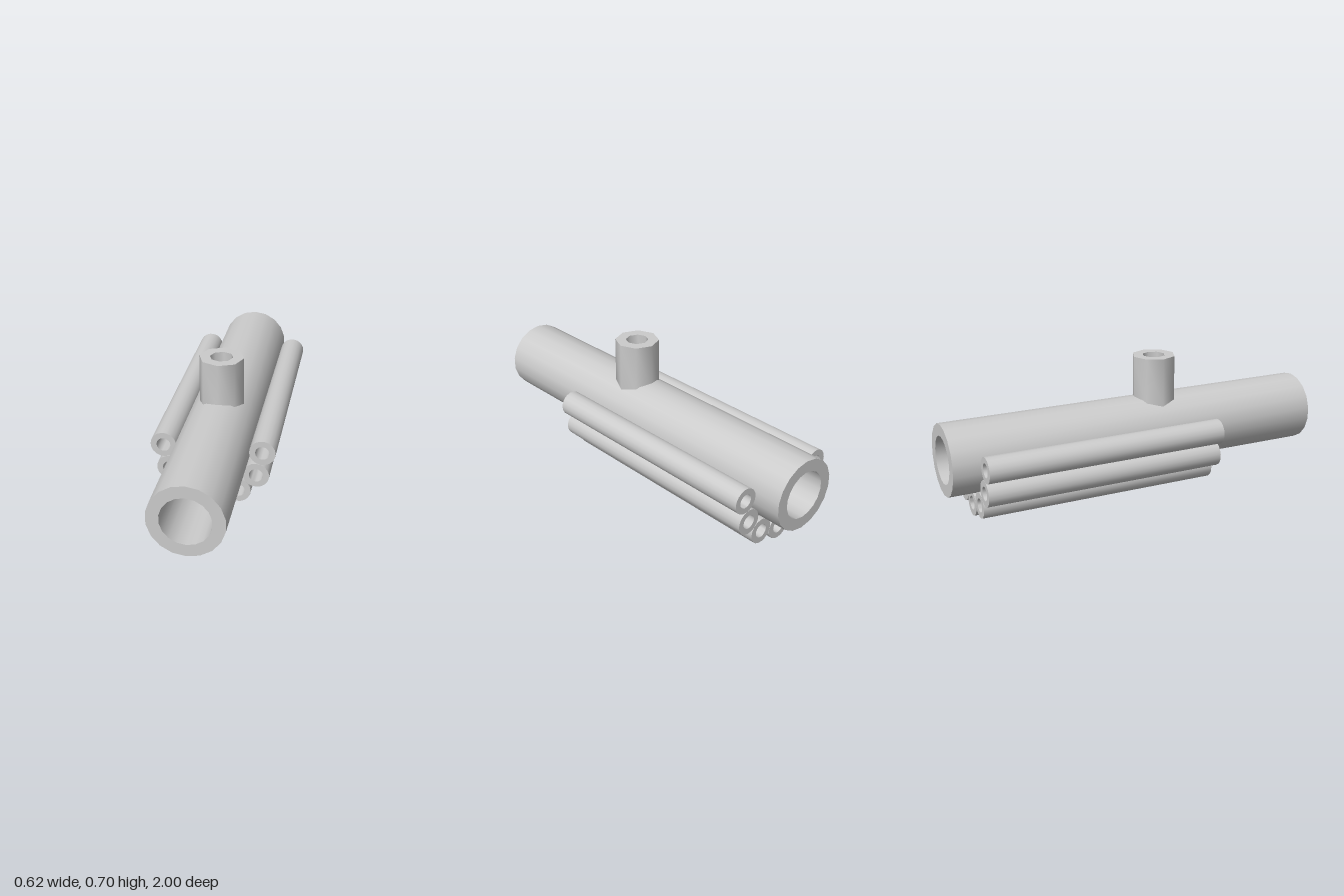
import * as THREE from 'three';
import { toCreasedNormals } from 'three/addons/utils/BufferGeometryUtils.js';

const material = new THREE.MeshStandardMaterial({ color: 0xcccccc });

// Hollow tube along y from y0 to y1, smooth walls and sharp rims
function tube(name, outer, inner, y0, y1, sides) {
  const profile = [[outer, y0], [outer, y1], [inner, y1], [inner, y0], [outer, y0]]
    .map(([r, y]) => new THREE.Vector2(r, y));
  const geometry = toCreasedNormals(new THREE.LatheGeometry(profile, sides), Math.PI / 3);
  const mesh = new THREE.Mesh(geometry, material);
  mesh.name = name;
  return mesh;
}

export function createModel() {
  const model = new THREE.Group();
  model.name = 'tubeAssembly';
  const axisY = 0.31;

  // Large central tube along z
  const main = tube('mainTube', 0.18, 0.12, -1, 1, 18);
  main.rotation.x = Math.PI / 2;
  main.position.y = axisY;
  model.add(main);

  // Octagonal stub on top, its foot sunk into the tube wall
  const stub = tube('topStub', 0.112, 0.058, 0.44, 0.70, 8);
  stub.position.z = 0.133;
  model.add(stub);

  // Seven small tubes cradling the underside
  const step = THREE.MathUtils.degToRad(30.8);
  const ring = 0.2445;
  for (let i = -3; i <= 3; i++) {
    const a = i * step;
    const holder = new THREE.Group();
    holder.name = `smallTube${i + 4}`;
    const small = tube('smallTubeBody', 0.065, 0.035, -0.865, 0.383, 18);
    small.rotation.x = Math.PI / 2;
    holder.add(small);
    holder.rotation.z = a;
    holder.position.set(Math.sin(a) * ring, axisY - Math.cos(a) * ring, 0);
    model.add(holder);
  }
  return model;
}
